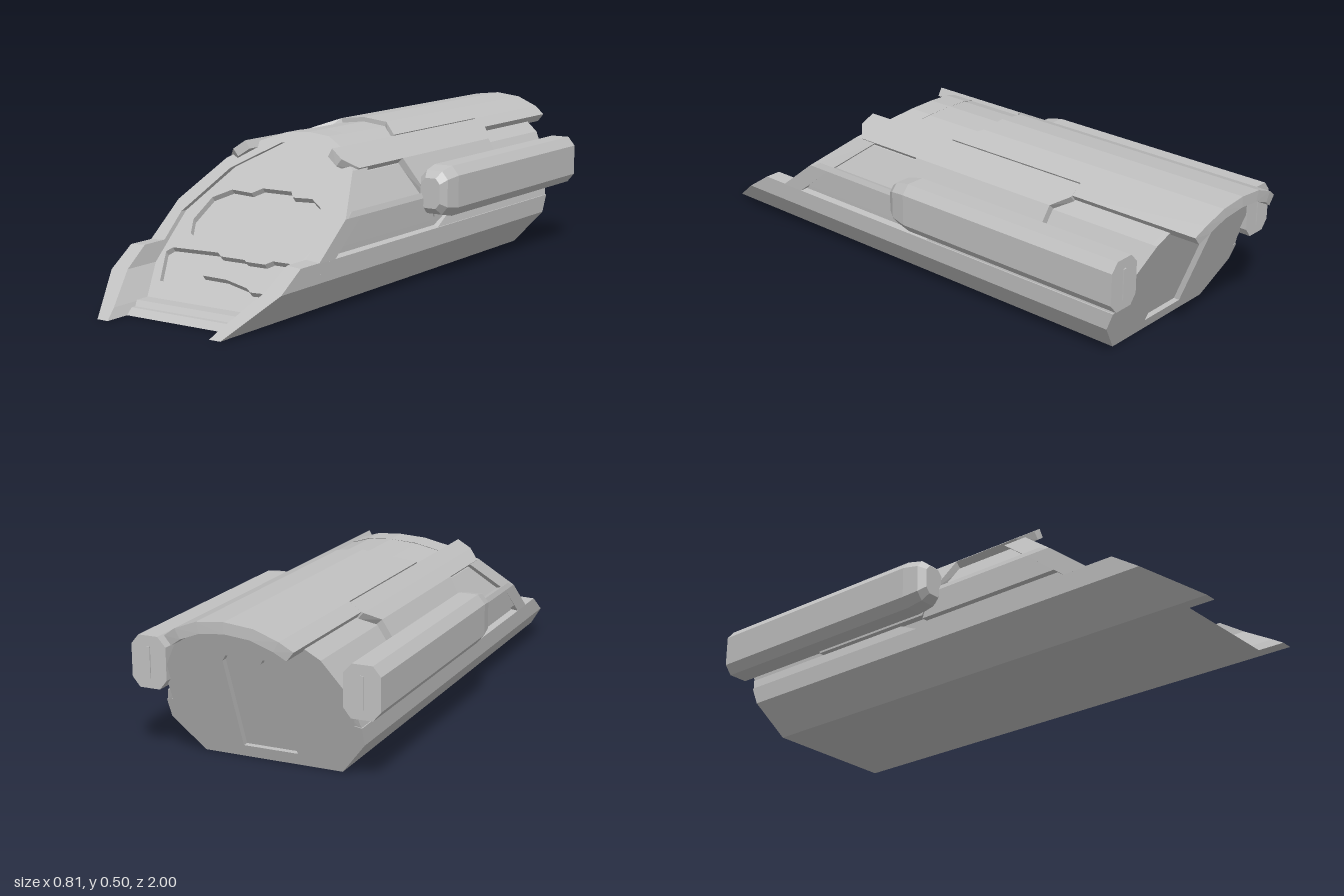
import * as THREE from 'three';
import { ConvexGeometry } from 'three/addons/geometries/ConvexGeometry.js';

export function createModel() {
  const root = new THREE.Group();
  const hullGrey = new THREE.MeshStandardMaterial({ color: 0xc0c0c0 });
  hullGrey.name = 'hullGrey';

  const add = (name, geo) => {
    const mesh = new THREE.Mesh(geo, hullGrey);
    mesh.name = name;
    root.add(mesh);
    return mesh;
  };
  const shapeOf = (pts) => new THREE.Shape(pts.map(([x, y]) => new THREE.Vector2(x, y)));
  const flip = (pts, s) => pts.map(([x, ...rest]) => [x * s, ...rest]);
  // right half, from the bottom up to the centre line, closed by its mirror image
  const symmetric = (half) => [...half, ...flip(half, -1).reverse().filter(([x]) => x !== 0)];
  const both = (fn) => [['left', 1], ['right', -1]].forEach(([side, s]) => fn(side, s));

  // Cross-section extruded along z between two sloped ends
  const slab = (name, pts, zFront, zBack, holes = []) => {
    const shape = shapeOf(pts);
    shape.holes = holes.map(shapeOf);
    const geo = new THREE.ExtrudeGeometry(shape, { depth: 1, bevelEnabled: false, steps: 1 });
    const p = geo.attributes.position;
    for (let i = 0; i < p.count; i++) {
      const y = p.getY(i);
      p.setZ(i, THREE.MathUtils.lerp(zBack(y), zFront(y), p.getZ(i)));
    }
    geo.computeVertexNormals();
    return add(name, geo);
  };

  // Curved armour plate: columns of [x, y, zFront, zBack], thickened inwards
  const shell = (name, cols, t = 0.035) => {
    const group = new THREE.Group();
    group.name = name;
    const k = 1 - t / 0.325;
    for (let i = 0; i + 1 < cols.length; i++) {
      const v = [];
      for (const [x, y, zf, zb] of [cols[i], cols[i + 1]])
        for (const z of [zf, zb])
          v.push(new THREE.Vector3(x, y, z), new THREE.Vector3(x * k, 0.18 + (y - 0.18) * k, z));
      const mesh = new THREE.Mesh(new ConvexGeometry(v), hullGrey);
      mesh.name = name + 'Facet';
      group.add(mesh);
    }
    root.add(group);
  };

  const slope = (z0, k) => (y) => z0 - k * y;
  const rear = slope(-0.72, 0.39);

  // Main body
  const section = symmetric([
    [0.23, 0], [0.32, 0.11], [0.322, 0.17], [0.3, 0.175], [0.303, 0.273],
    [0.234, 0.386], [0.155, 0.443], [0.084, 0.469], [0, 0.477],
  ]);
  slab('body', section, slope(0.815, 1.28), slope(-0.7, 0.39));

  // Rear bulkhead with a sunken door
  const door = [[-0.09, 0.04], [0.09, 0.04], [0.09, 0.34], [0.075, 0.36], [0.045, 0.36],
    [0.035, 0.345], [-0.035, 0.345], [-0.045, 0.36], [-0.075, 0.36], [-0.09, 0.34]];
  slab('rearBulkhead', section, slope(-0.7, 0.39), rear, [door]);

  // Sloped nose panel with sunken windows
  const upperWindow = [[-0.23, 0.23], [-0.205, 0.195], [-0.145, 0.176], [-0.06, 0.178], [-0.05, 0.186],
    [0.03, 0.186], [0.05, 0.178], [0.17, 0.18], [0.205, 0.193], [0.23, 0.23], [0.2, 0.295], [0.15, 0.315],
    [0.08, 0.313], [0.06, 0.327], [-0.05, 0.327], [-0.08, 0.312], [-0.16, 0.315], [-0.215, 0.29]];
  const lowerWindow = [[-0.25, 0.143], [-0.235, 0.155], [-0.06, 0.158], [-0.04, 0.15], [0.05, 0.15],
    [0.06, 0.146], [0.13, 0.146], [0.15, 0.156], [0.21, 0.156], [0.235, 0.146], [0.22, 0.138],
    [0.16, 0.136], [0.14, 0.123], [0.02, 0.113], [-0.065, 0.107], [-0.06, 0.1], [0.03, 0.099],
    [0.12, 0.087], [0.14, 0.079], [0.21, 0.081], [0.2, 0.07], [-0.2, 0.073]];
  const panel = symmetric([[0.205, 0.03], [0.268, 0.12], [0.285, 0.25], [0.21, 0.378], [0.078, 0.458], [0, 0.466]]);
  const nose = slab('nosePanel', panel, () => 1, () => 0, [upperWindow, lowerWindow]);
  // recess walls run square to the slope
  const np = nose.geometry.attributes.position;
  for (let i = 0; i < np.count; i++) {
    const y = np.getY(i), d = (np.getZ(i) - 1) * 0.02;
    np.setY(i, y + 0.79 * d);
    np.setZ(i, 0.845 - 1.28 * y + 0.62 * d);
  }
  nose.geometry.computeVertexNormals();

  // Raised frame around the nose
  const frameOuter = symmetric([[0.322, 0.17], [0.322, 0.28], [0.245, 0.4], [0.16, 0.455], [0.085, 0.483], [0, 0.49]]);
  const frameInner = symmetric([[0.27, 0.17], [0.28, 0.25], [0.205, 0.375], [0.075, 0.455], [0, 0.463]]);
  slab('noseFrame', [...frameOuter, ...frameInner.reverse()], slope(0.865, 1.26), slope(0.78, 1.26));

  // Prongs reaching forward at the sides and the stepped lip between them
  both((side, s) => slab(side + 'Prong',
    flip([[0.19, 0], [0.23, 0], [0.32, 0.11], [0.322, 0.172], [0.27, 0.175], [0.262, 0.115], [0.205, 0.03]], s),
    slope(1, 1.5), slope(0.8, 1.28)));
  const strip = (y0, y1) => [[-0.205, y0], [0.205, y0], [0.205, y1], [-0.205, y1]];
  slab('lowerLip', strip(0, 0.017), slope(0.915, 1.8), () => 0.75);
  slab('upperLip', strip(0.017, 0.033), slope(0.885, 1), () => 0.75);

  // Roof plates
  const mirrorCols = (half) => [...flip(half, -1), ...half.slice().reverse().slice(1)];
  shell('frontRoof', mirrorCols([[0.16, 0.453, 0.29, -0.2], [0.086, 0.48, 0.256, -0.2], [0, 0.49, 0.245, -0.2]]), 0.02);
  shell('rearRoof', mirrorCols([
    [0.165, 0.465, 0, -0.99], [0.09, 0.495, -0.07, -0.997], [0, 0.505, -0.07, -1]]));

  both((side, s) => {
    // Side armour
    shell(side + 'RoofEdge', flip([[0.165, 0.465, -0.53, -0.99], [0.205, 0.437, -0.53, -0.98]], s));
    shell(side + 'Shoulder', flip([
      [0.168, 0.463, 0.36, -0.53], [0.21, 0.434, 0.37, -0.53], [0.25, 0.405, 0.33, -0.48]], s), 0.03);
    shell(side + 'SidePlate', flip([
      [0.25, 0.405, 0.08, -0.48], [0.325, 0.28, 0.04, -0.47], [0.323, 0.21, 0, -0.46]], s), 0.03);
    shell(side + 'Sill', flip([
      [0.315, 0.297, 0.47, 0.03], [0.322, 0.28, 0.5, 0.03], [0.32, 0.2, 0.6, 0]], s), 0.025);
    shell(side + 'Rail', flip([[0.312, 0.205, -0.1, -0.795], [0.32, 0.168, -0.02, -0.783]], s), 0.03);

    // Engine pods with a tapered nose
    const ring = [[0.315, 0.38], [0.38, 0.38], [0.405, 0.35], [0.405, 0.247],
      [0.38, 0.217], [0.312, 0.217], [0.288, 0.247], [0.288, 0.35]];
    const pts = [];
    for (const [z, k] of [[-0.84, 1], [-0.01, 1], [0.045, 0.86], [0.07, 0.6]])
      for (const [x, y] of ring)
        pts.push(new THREE.Vector3(s * (0.347 + (x - 0.347) * k), 0.298 + (y - 0.298) * k, z));
    add(side + 'Pod', new ConvexGeometry(pts));
    const ridge = add(side + 'PodRidge', new THREE.BoxGeometry(0.012, 0.1, 0.008));
    ridge.position.set(s * 0.347, 0.298, -0.84);
  });

  return root;
}
